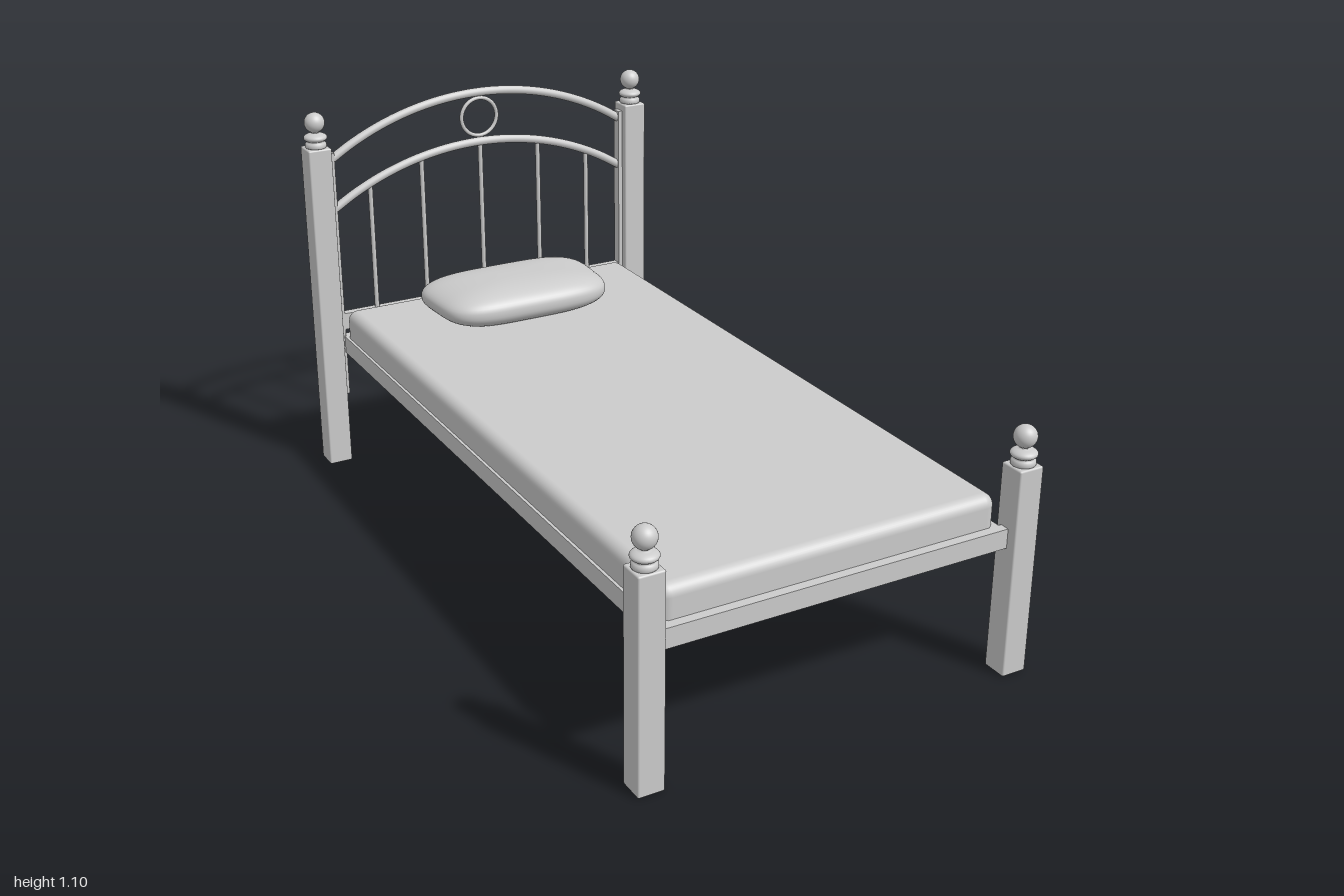
import * as THREE from 'three';
import { mergeVertices } from 'three/addons/utils/BufferGeometryUtils.js';
import { RoundedBoxGeometry } from 'three/addons/geometries/RoundedBoxGeometry.js';

const material = new THREE.MeshStandardMaterial({ color: 0xcccccc });
const POST_X = 0.513, POST_Z = 0.965;
const HALF_SPAN = 0.47, SAG = 0.14;
const ARC_R = (HALF_SPAN ** 2 + SAG ** 2) / (2 * SAG);

function add(parent, name, geometry, x = 0, y = 0, z = 0) {
  const mesh = new THREE.Mesh(geometry, material);
  mesh.name = name;
  mesh.position.set(x, y, z);
  parent.add(mesh);
  return mesh;
}

// Box given by its limits on each axis
function addBox(parent, name, [x0, x1], [y0, y1], [z0, z1], radius = 0) {
  const size = [x1 - x0, y1 - y0, z1 - z0];
  const geometry = radius
    ? new RoundedBoxGeometry(...size, 4, radius)
    : new THREE.BoxGeometry(...size);
  return add(parent, name, geometry, (x0 + x1) / 2, (y0 + y1) / 2, (z0 + z1) / 2);
}

// Turned finial: collar, flattened bead and ball
function finialGeometry() {
  const points = [[0, 0], [0.029, 0], [0.031, 0.004], [0.031, 0.012], [0.027, 0.016]];
  for (let i = 0; i <= 10; i++) {
    const a = -0.8 + (i / 10) * 2.0;
    points.push([0.034 * Math.cos(a), 0.03 + 0.014 * Math.sin(a)]);
  }
  for (let i = 0; i <= 16; i++) {
    const a = -1.2 + (i / 16) * (1.2 + Math.PI / 2);
    points.push([Math.max(0, 0.0295 * Math.cos(a)), 0.0735 + 0.0295 * Math.sin(a)]);
  }
  return new THREE.LatheGeometry(points.map(p => new THREE.Vector2(...p)), 32);
}

function addPost(parent, name, x, z, height) {
  const post = new THREE.Group();
  post.name = name;
  post.position.set(x, 0, z);
  addBox(post, 'postShaft', [-0.035, 0.035], [0, height], [-0.035, 0.035], 0.005);
  add(post, 'finial', finialGeometry(), 0, height - 0.001, 0);
  parent.add(post);
}

const arcHeight = (apex, x) => apex - ARC_R + Math.sqrt(ARC_R ** 2 - x ** 2);

function archGeometry(apex) {
  const points = [];
  for (let i = 0; i <= 16; i++) {
    const x = HALF_SPAN * (i / 8 - 1);
    points.push(new THREE.Vector3(x, arcHeight(apex, x), 0));
  }
  return new THREE.TubeGeometry(new THREE.CatmullRomCurve3(points), 64, 0.0125, 16);
}

// Sphere squared off into a plump cushion
function pillowGeometry() {
  const geometry = new THREE.SphereGeometry(1, 64, 32);
  geometry.deleteAttribute('uv');
  geometry.deleteAttribute('normal');
  const p = geometry.attributes.position;
  const power = (v, e) => Math.sign(v) * Math.abs(v) ** e;
  for (let i = 0; i < p.count; i++) {
    const x = p.getX(i), y = p.getY(i), z = p.getZ(i);
    const r = Math.hypot(x, z) || 1e-6;
    const spread = r ** 0.75;
    const px = spread * power(x / r, 0.5), pz = spread * power(z / r, 0.5);
    p.setXYZ(i, 0.267 * px * (1 - 0.04 * pz), 0.06 * power(y, 0.85), 0.16 * pz);
  }
  const smooth = mergeVertices(geometry, 1e-5);
  smooth.computeVertexNormals();
  return smooth;
}

export function createModel() {
  const bed = new THREE.Group();
  bed.name = 'bed';

  // Corner posts
  for (const side of [-1, 1]) {
    const label = side > 0 ? 'left' : 'right';
    addPost(bed, label + 'HeadPost', side * POST_X, -POST_Z, 0.988);
    addPost(bed, label + 'FootPost', side * POST_X, POST_Z, 0.562);
  }

  // Frame rails and base panel
  const frame = new THREE.Group();
  frame.name = 'frame';
  bed.add(frame);
  const railY = [0.348, 0.4];
  addBox(frame, 'footRail', [-0.48, 0.48], railY, [0.947, 0.973]);
  addBox(frame, 'headRail', [-0.48, 0.48], railY, [-0.973, -0.947]);
  addBox(frame, 'leftRail', [0.443, 0.47], railY, [-0.95, 0.95]);
  addBox(frame, 'rightRail', [-0.47, -0.443], railY, [-0.95, 0.95]);
  addBox(frame, 'basePanel', [-0.445, 0.445], [0.36, 0.38], [-0.95, 0.95]);

  // Bedding
  addBox(bed, 'mattress', [-0.462, 0.462], [0.365, 0.484], [-0.95, 0.947], 0.03);
  add(bed, 'pillow', pillowGeometry(), 0, 0.528, -0.74);

  // Headboard
  const headboard = new THREE.Group();
  headboard.name = 'headboard';
  headboard.position.z = -POST_Z;
  bed.add(headboard);
  for (const side of [-1, 1]) {
    const xs = [side * 0.465, side * 0.48].sort((a, b) => a - b);
    addBox(headboard, 'sideStrip', xs, [0.213, 0.967], [-0.015, 0.015]);
  }
  addBox(headboard, 'lowerBar', [-0.47, 0.47], [0.42, 0.47], [-0.0125, 0.0125]);
  add(headboard, 'upperArch', archGeometry(1.085));
  add(headboard, 'lowerArch', archGeometry(0.934));
  add(headboard, 'ring', new THREE.TorusGeometry(0.057, 0.006, 12, 48), 0, 1.01, 0);
  for (const x of [-0.356, -0.191, 0, 0.191, 0.356]) {
    const top = arcHeight(0.934, x), bottom = 0.46;
    add(headboard, 'spindle', new THREE.CylinderGeometry(0.007, 0.007, top - bottom, 16),
      x, (top + bottom) / 2, 0);
  }
  return bed;
}
